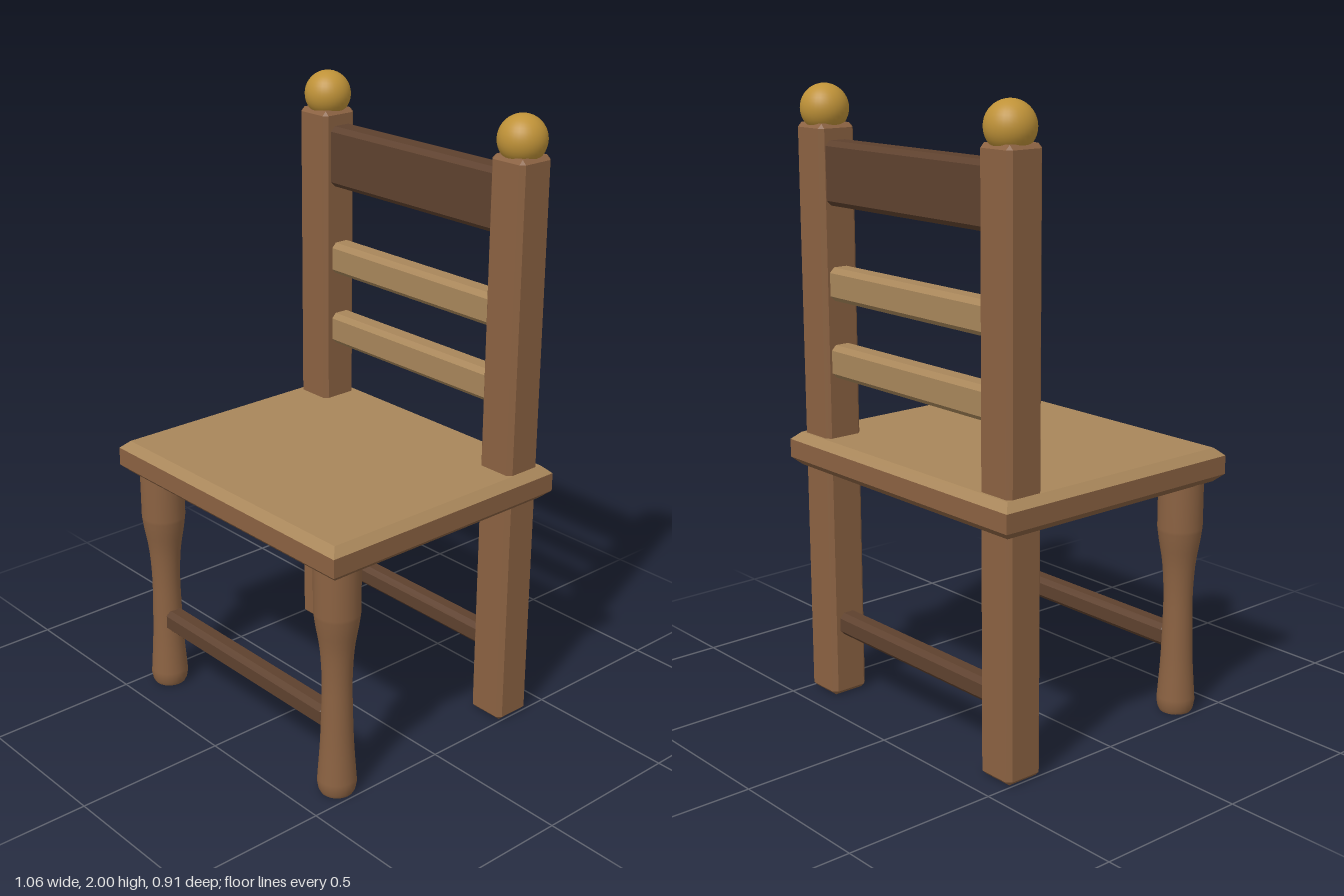
import * as THREE from 'three';
import { ConvexGeometry } from 'three/addons/geometries/ConvexGeometry.js';

const mat = (name, color) => {
  const m = new THREE.MeshStandardMaterial({ color });
  m.name = name;
  return m;
};

// Box of full size w, h, d with every edge chamfered by c
function chamferBox(w, h, d, c) {
  const pts = [];
  for (const x of [-w / 2, w / 2])
    for (const y of [-h / 2, h / 2])
      for (const z of [-d / 2, d / 2]) {
        const [ix, iy, iz] = [x, y, z].map((v) => v - Math.sign(v) * c);
        pts.push(new THREE.Vector3(x, iy, iz), new THREE.Vector3(ix, y, iz), new THREE.Vector3(ix, iy, z));
      }
  return new ConvexGeometry(pts);
}

// Solid through stacked rectangles, each [y, half width, half depth]
function stackedSlab(levels) {
  const pts = [];
  for (const [y, w, d] of levels)
    for (const sx of [-1, 1])
      for (const sz of [-1, 1]) pts.push(new THREE.Vector3(sx * w, y, sz * d));
  return new ConvexGeometry(pts);
}

export function createModel() {
  const chair = new THREE.Group();
  chair.name = 'chair';
  const brown = mat('brown wood', 0x8b6242);
  const dark = mat('dark wood', 0x5e412e);
  const tan = mat('tan wood', 0xa8865a);
  const gold = mat('gold', 0xbf9238);

  const add = (name, geometry, material, x = 0, y = 0, z = 0) => {
    const mesh = new THREE.Mesh(geometry, material);
    mesh.name = name;
    mesh.position.set(x, y, z);
    chair.add(mesh);
  };

  // Seat: brown body with a tan bevelled top
  add('seatBody', stackedSlab([[0.775, 0.505, 0.43], [0.8, 0.532, 0.457], [0.86, 0.532, 0.457]]), brown);
  add('seatTop', stackedSlab([[0.86, 0.532, 0.457], [0.885, 0.505, 0.43]]), tan);

  // Turned front leg profile, smoothed along its length
  const profile = new THREE.SplineCurve([
    [0.062, 0.035], [0.058, 0.09], [0.052, 0.18], [0.048, 0.3], [0.047, 0.4],
    [0.053, 0.5], [0.066, 0.58], [0.072, 0.625],
  ].map(([r, y]) => new THREE.Vector2(r, y))).getPoints(20);
  const legProfile = [
    new THREE.Vector2(0, 0), new THREE.Vector2(0.052, 0), new THREE.Vector2(0.052, 0), new THREE.Vector2(0.058, 0.012),
    ...profile,
    new THREE.Vector2(0.072, 0.78),
  ];
  const legGeometry = new THREE.LatheGeometry(legProfile, 24);
  const postGeometry = chamferBox(0.134, 1.88, 0.132, 0.014);
  const knobGeometry = new THREE.SphereGeometry(0.076, 32, 20);

  // Legs, back posts and knobs on both sides
  for (const [side, s] of [['left', 1], ['right', -1]]) {
    add(side + 'FrontLeg', legGeometry, brown, s * 0.436, 0, 0.36);
    add(side + 'BackPost', postGeometry, brown, s * 0.435, 0.94, -0.356);
    add(side + 'Knob', knobGeometry, gold, s * 0.434, 1.924, -0.358);
  }

  // Back rails
  add('topRail', chamferBox(0.8, 0.2, 0.09, 0.016), dark, 0, 1.73, -0.36);
  for (const y of [1.383, 1.135])
    add('backSlat', chamferBox(0.8, 0.106, 0.08, 0.016), tan, 0, y, -0.36);

  // Lower stretchers
  add('frontStretcher', chamferBox(0.82, 0.075, 0.068, 0.016), dark, 0, 0.248, 0.36);
  add('backStretcher', chamferBox(0.8, 0.075, 0.068, 0.016), dark, 0, 0.248, -0.36);

  return chair;
}
